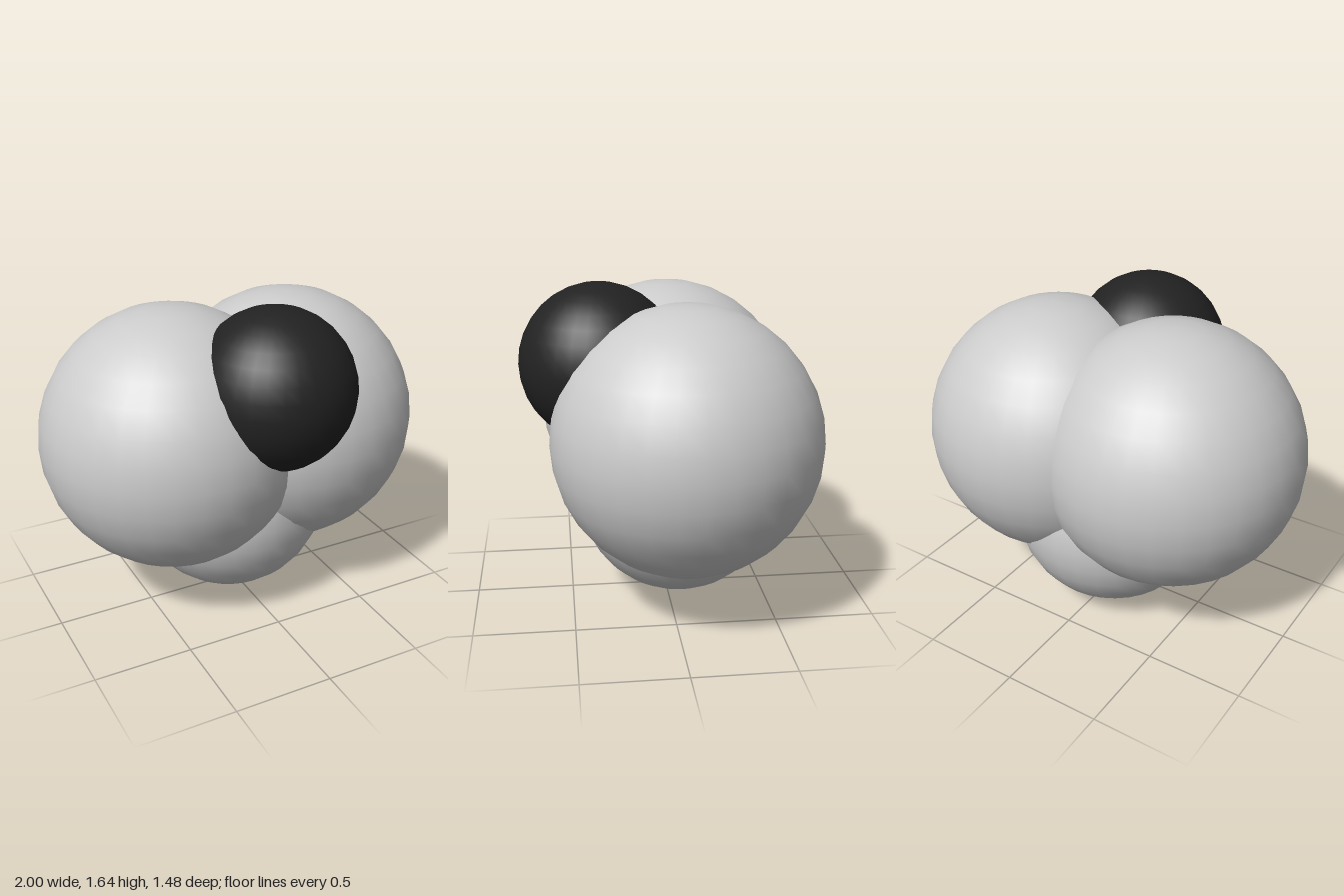
import * as THREE from 'three';

// One smooth ball of the cluster
function ball(name, radius, x, y, z, color = 0xcccccc) {
  const mesh = new THREE.Mesh(
    new THREE.SphereGeometry(radius, 32, 16),
    new THREE.MeshStandardMaterial({ color })
  );
  mesh.name = name;
  mesh.position.set(x, y, z);
  return mesh;
}

export function createModel() {
  const group = new THREE.Group();
  group.name = 'sphereCluster';
  group.add(
    // Two large overlapping balls side by side
    ball('rightLargeBall', 0.668, -0.332, 0.922, -0.042),
    ball('leftLargeBall', 0.668, 0.332, 0.907, -0.07),
    // Medium ball nested underneath
    ball('lowerBall', 0.517, -0.005, 0.519, -0.066),
    // Small dark ball at the upper front
    ball('darkBall', 0.4, 0.042, 1.243, 0.338, 0x222222)
  );
  return group;
}
